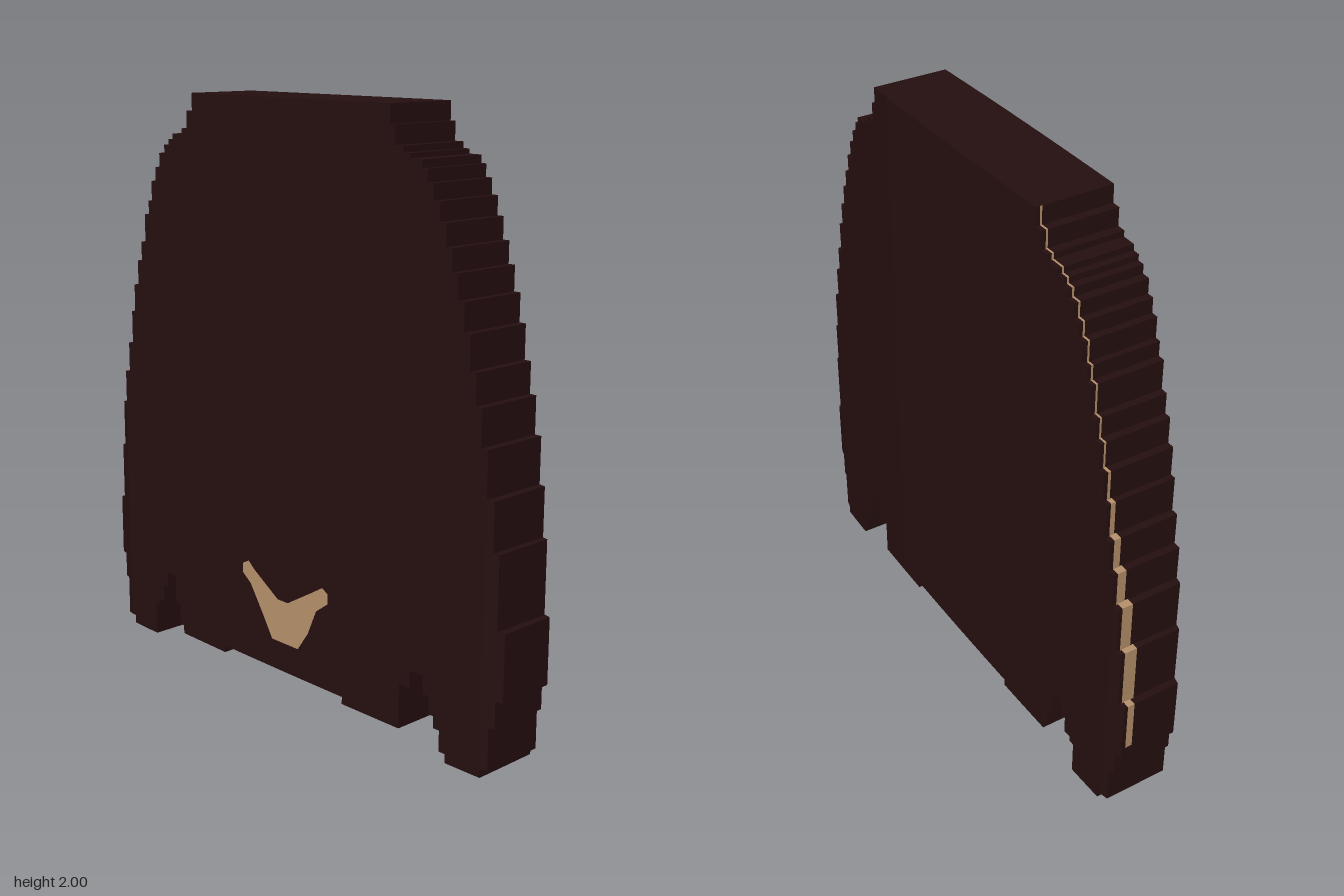
import * as THREE from 'three';

// Stepped outline: [x where the step starts, height]
const TOP = [
  [-0.95, 0.48], [-0.925, 0.69], [-0.905, 0.86], [-0.88, 0.98], [-0.855, 1.09], [-0.83, 1.21],
  [-0.81, 1.31], [-0.785, 1.40], [-0.76, 1.47], [-0.735, 1.57], [-0.71, 1.62], [-0.69, 1.69],
  [-0.665, 1.74], [-0.64, 1.79], [-0.61, 1.82], [-0.585, 1.84], [-0.56, 1.86], [-0.51, 1.88],
  [-0.48, 1.94], [-0.45, 2.0], [0.48, 1.94], [0.5, 1.88], [0.535, 1.86], [0.56, 1.845],
  [0.61, 1.82], [0.63, 1.78], [0.655, 1.73], [0.68, 1.67], [0.705, 1.6], [0.73, 1.53],
  [0.755, 1.45], [0.78, 1.36], [0.805, 1.25], [0.83, 1.15], [0.855, 1.03], [0.88, 0.88],
  [0.905, 0.72], [0.925, 0.48],
];
const BOTTOM = [
  [-0.95, 0.26], [-0.925, 0.17], [-0.905, 0.03], [-0.86, 0], [-0.72, 0.12], [-0.7, 0.14],
  [-0.67, 0.2], [-0.645, 0.26], [-0.595, 0.155], [-0.57, 0.08], [-0.55, 0.05], [-0.31, 0.075],
  [0.29, 0.05], [0.545, 0.2], [0.59, 0.26], [0.645, 0.2], [0.67, 0.14], [0.69, 0.1],
  [0.715, 0.03], [0.74, 0], [0.88, 0.03], [0.905, 0.17], [0.925, 0.26],
];
const END = 0.95;

// Height of a step table at x
function stepAt(table, x) {
  let value = table[0][1];
  for (const [start, height] of table) if (x >= start) value = height;
  return value;
}

// Half thickness: gently bulged, bevelled towards both ends
function halfDepth(x) {
  const a = Math.abs(x);
  return 0.135 - 0.02 * a * a - Math.max(0, a - 0.88) * 0.2;
}

// Collects quads (corners counter-clockwise from outside)
function quadBuilder() {
  const positions = [];
  return {
    quad(a, b, c, d) { positions.push(...a, ...b, ...c, ...a, ...c, ...d); },
    geometry() {
      const g = new THREE.BufferGeometry();
      g.setAttribute('position', new THREE.Float32BufferAttribute(positions, 3));
      g.computeVertexNormals();
      return g;
    },
  };
}

function slabGeometry() {
  const q = quadBuilder();
  const xs = new Set([END]);
  for (const [x] of [...TOP, ...BOTTOM]) xs.add(x);
  for (let i = -4; i <= 4; i++) xs.add(i / 10);
  const cuts = [...xs].sort((a, b) => a - b);

  // Wall across the thickness at x, facing +x or -x
  const wall = (x, y0, y1, facing) => {
    const z = halfDepth(x) * facing;
    q.quad([x, y0, z], [x, y0, -z], [x, y1, -z], [x, y1, z]);
  };

  let b0 = 0.37, t0 = 0.37;
  cuts.forEach((x, i) => {
    const last = i === cuts.length - 1;
    const mid = last ? 0 : (x + cuts[i + 1]) / 2;
    const b = last ? 0.37 : stepAt(BOTTOM, mid);
    const t = last ? 0.37 : stepAt(TOP, mid);
    if (t > t0) wall(x, t0, t, -1);
    if (t < t0) wall(x, t, t0, 1);
    if (b > b0) wall(x, b0, b, 1);
    if (b < b0) wall(x, b, b0, -1);
    if (!last) {
      const r = cuts[i + 1], zl = halfDepth(x), zr = halfDepth(r);
      q.quad([x, b, zl], [r, b, zr], [r, t, zr], [x, t, zl]);
      q.quad([r, b, -zr], [x, b, -zl], [x, t, -zl], [r, t, -zr]);
      q.quad([x, t, zl], [r, t, zr], [r, t, -zr], [x, t, -zl]);
      q.quad([x, b, -zl], [r, b, -zr], [r, b, zr], [x, b, zl]);
    }
    b0 = b;
    t0 = t;
  });
  return q.geometry();
}

// Narrow painted line on the stepped right edge, near the back
function edgeLineGeometry() {
  const q = quadBuilder();
  const lift = 0.002;
  let y0 = 0.3;
  for (let i = 0; i < 20; i++) {
    const [x, y1] = TOP[i];
    const width = i === 0 ? 0.025 : Math.max(0.007, 0.045 - (i - 1) * 0.007);
    const back = -halfDepth(x) + 0.012, front = back + width;
    const xo = x - lift, yo = y1 + lift;
    q.quad([xo, y0, back], [xo, y0, front], [xo, yo, front], [xo, yo, back]);
    if (i < 19) {
      const r = TOP[i + 1][0];
      q.quad([xo, yo, front], [r, yo, front], [r, yo, back], [xo, yo, back]);
    }
    y0 = y1;
  }
  return q.geometry();
}

// Flat winged mark low on the front
function markGeometry() {
  const points = [
    [-0.2, 0.38], [-0.16, 0.35], [-0.1, 0.26], [-0.05, 0.18], [0.08, 0.18], [0.13, 0.25],
    [0.17, 0.34], [0.225, 0.38], [0.225, 0.415], [0.2, 0.43], [0.15, 0.4], [0.03, 0.33],
    [-0.02, 0.33], [-0.14, 0.405], [-0.17, 0.43], [-0.2, 0.415],
  ];
  return new THREE.ShapeGeometry(new THREE.Shape(points.map(([x, y]) => new THREE.Vector2(x, y))));
}

export function createModel() {
  const darkBrown = new THREE.MeshStandardMaterial({ color: 0x260f10 });
  darkBrown.name = 'darkBrown';
  const tan = new THREE.MeshStandardMaterial({ color: 0xb8926c });
  tan.name = 'tan';

  const model = new THREE.Group();
  model.name = 'steppedPanel';
  const add = (name, geometry, material) => {
    const mesh = new THREE.Mesh(geometry, material);
    mesh.name = name;
    model.add(mesh);
    return mesh;
  };

  add('panelBody', slabGeometry(), darkBrown);
  add('frontMark', markGeometry(), tan).position.z = halfDepth(0) + 0.003;
  add('edgeLine', edgeLineGeometry(), tan);
  return model;
}
